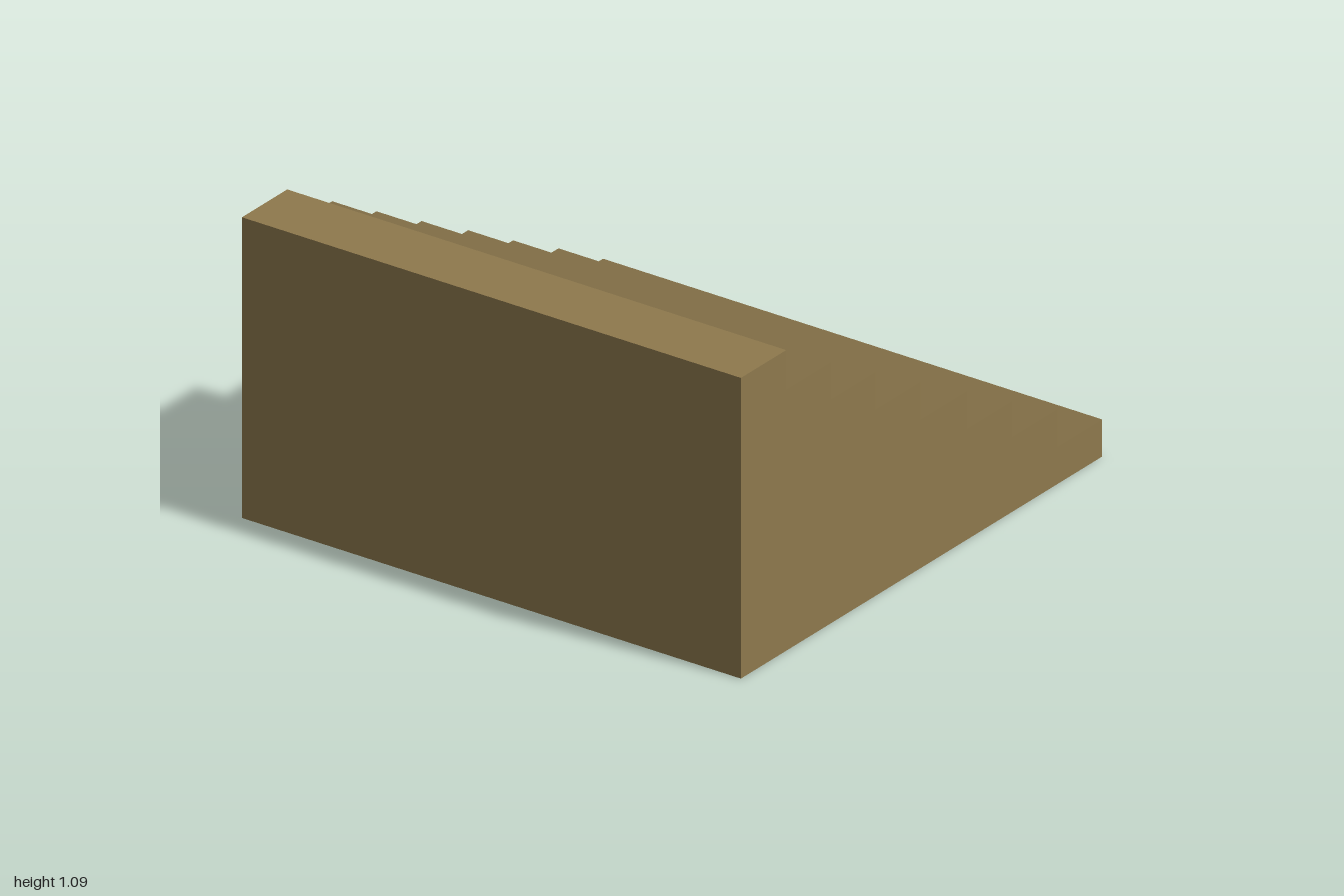
import * as THREE from 'three';

export function createModel() {
  const group = new THREE.Group();
  const wood = new THREE.MeshStandardMaterial({ color: 0x8e794d });
  wood.name = 'tan';

  const add = (name, geometry) => {
    const mesh = new THREE.Mesh(geometry, wood);
    mesh.name = name;
    group.add(mesh);
  };

  // Stair profile as [z, y], climbing from the back (-z) to the front (+z)
  const riserZ = [-1, -0.753, -0.502, -0.253, 0.005, 0.255, 0.5, 0.749];
  const treadY = [0.135, 0.272, 0.402, 0.539, 0.676, 0.812, 0.947, 1.09];
  const profile = [[-1, 0]];
  riserZ.forEach((z, i) => {
    profile.push([z, treadY[i]]);
    if (i < 7) profile.push([riserZ[i + 1], treadY[i]]);
  });

  // Stepped surface: one smooth-shaded strip across the full width
  const positions = [], normals = [], index = [];
  const last = profile.length - 1;
  profile.forEach(([z, y], i) => {
    const normal = i === 0 || i === last ? [0, 0, -1] : [0, Math.SQRT1_2, -Math.SQRT1_2];
    positions.push(-1, y, z, 1, y, z);
    normals.push(...normal, ...normal);
    if (i < last) {
      const a = i * 2;
      index.push(a, a + 3, a + 1, a, a + 2, a + 3);
    }
  });
  const steps = new THREE.BufferGeometry();
  steps.setAttribute('position', new THREE.Float32BufferAttribute(positions, 3));
  steps.setAttribute('normal', new THREE.Float32BufferAttribute(normals, 3));
  steps.setIndex(index);
  add('steps', steps);

  // Flat stepped side walls
  for (const side of [1, -1]) {
    const outline = [...profile, [1, 1.09], [1, 0]];
    const shape = new THREE.Shape(outline.map(([z, y]) => new THREE.Vector2(-side * z, y)));
    const wall = new THREE.ShapeGeometry(shape);
    wall.rotateY(side * Math.PI / 2).translate(side, 0, 0);
    add(side > 0 ? 'leftSide' : 'rightSide', wall);
  }

  // Tall front wall, top landing and underside
  add('frontWall', new THREE.PlaneGeometry(2, 1.09).translate(0, 0.545, 1));
  add('topLanding', new THREE.PlaneGeometry(2, 0.251).rotateX(-Math.PI / 2).translate(0, 1.09, 0.8745));
  add('underside', new THREE.PlaneGeometry(2, 2).rotateX(Math.PI / 2));

  return group;
}
